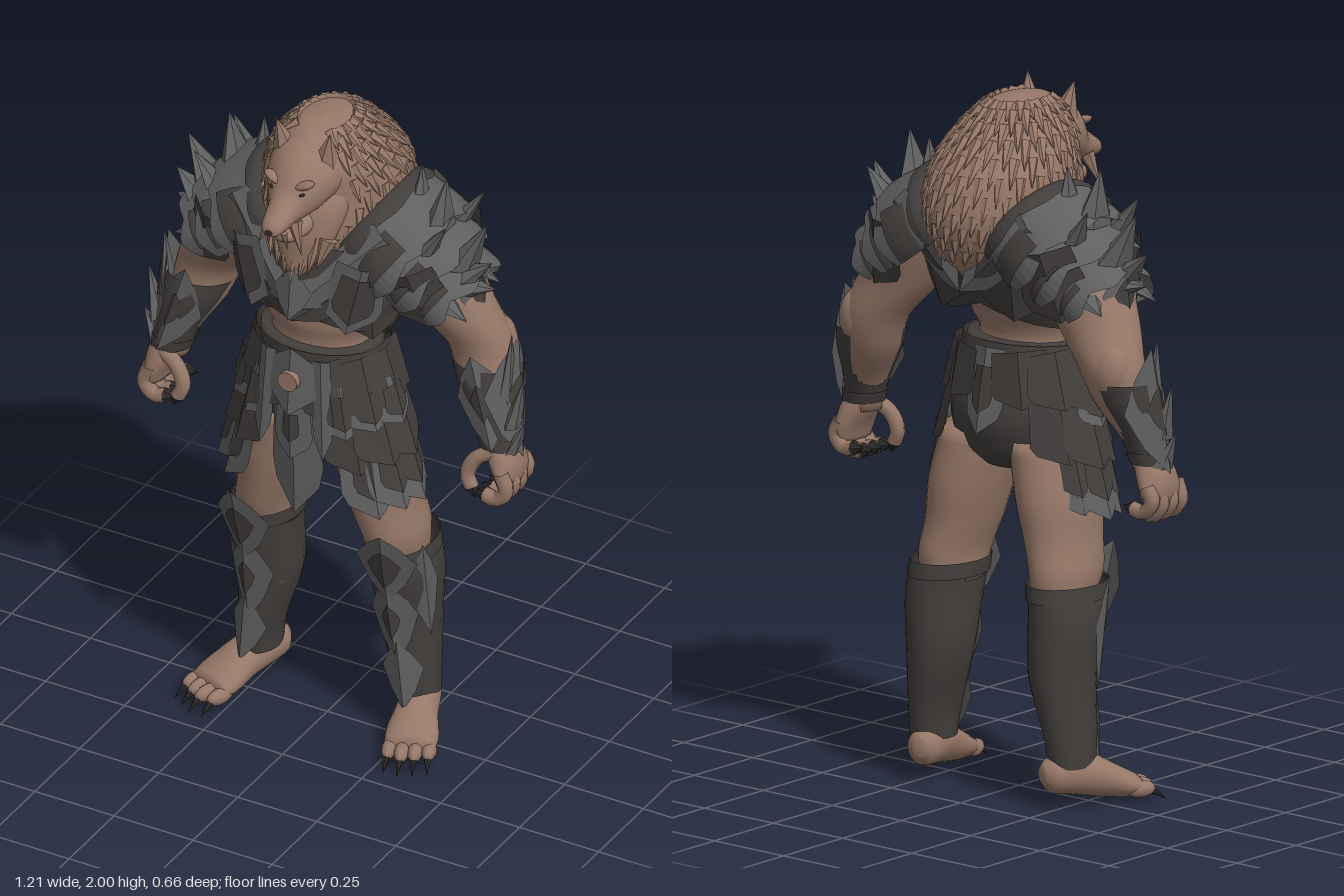
import * as THREE from 'three';
import { mergeGeometries } from 'three/addons/utils/BufferGeometryUtils.js';

const material = (name, color) => new THREE.MeshStandardMaterial({ name, color, side: THREE.DoubleSide });
const skin = material('brown hide', 0x967868);
const steel = material('grey plate', 0x5f5f60);
const leather = material('dark leather', 0x423e3c);
const claw = material('black claw', 0x2a2827);
const V = (p) => new THREE.Vector3(...p);

function add(parent, name, geometry, mat) {
  const mesh = new THREE.Mesh(geometry, mat);
  mesh.name = name;
  parent.add(mesh);
  return mesh;
}
function faceted(geometry) {
  const g = geometry.index ? geometry.toNonIndexed() : geometry;
  g.computeVertexNormals();
  return g;
}

// Smoothly interpolated elliptical rings: [x, y, z, radiusX, radius2]
function sampler(rings, axis = 'y') {
  const centre = new THREE.CatmullRomCurve3(rings.map((r) => V(r.slice(0, 3))));
  const radius = new THREE.CatmullRomCurve3(rings.map((r) => V([r[3], r[4], 0])));
  return (t, a) => {
    const p = centre.getPoint(t), r = radius.getPoint(t);
    return axis === 'y' ? p.add(V([r.x * Math.sin(a), 0, r.y * Math.cos(a)]))
      : p.add(V([r.x * Math.cos(a), r.y * Math.sin(a), 0]));
  };
}
function loft(rings, { axis = 'y', sides = 24, caps = true } = {}) {
  const at = sampler(rings, axis), rows = (rings.length - 1) * 4, pos = [], idx = [];
  for (let i = 0; i <= rows; i++)
    for (let j = 0; j < sides; j++) pos.push(...at(i / rows, (j / sides) * Math.PI * 2).toArray());
  for (let i = 0; i < rows; i++)
    for (let j = 0; j < sides; j++) {
      const a = i * sides + j, b = i * sides + ((j + 1) % sides);
      idx.push(a, b, a + sides, b, b + sides, a + sides);
    }
  if (caps) {
    const n = pos.length / 3, last = rows * sides;
    pos.push(...rings[0].slice(0, 3), ...rings[rings.length - 1].slice(0, 3));
    for (let j = 0; j < sides; j++) {
      const k = (j + 1) % sides;
      idx.push(n, k, j, n + 1, last + j, last + k);
    }
  }
  const g = new THREE.BufferGeometry();
  g.setAttribute('position', new THREE.Float32BufferAttribute(pos, 3));
  g.setIndex(idx);
  g.computeVertexNormals();
  return g;
}

// Pointed cone from a base point to a tip; thin flattens it into a blade
function spikeGeometry(base, tip, r, sides = 6, thin = 1) {
  const d = tip.clone().sub(base), h = d.length();
  const g = new THREE.ConeGeometry(r, h, sides, 1).translate(0, h / 2, 0).scale(thin, 1, 1);
  g.applyQuaternion(new THREE.Quaternion().setFromUnitVectors(V([0, 1, 0]), d.normalize()));
  return faceted(g.translate(base.x, base.y, base.z));
}
const spike = (g, name, a, b, r, mat, thin) => add(g, name, spikeGeometry(V(a), V(b), r, 6, thin), mat);

// Ridged plate from top a to bottom b, facing n; profile lists [fraction, half width]
const KITE = [[0, 0], [0.2, 0.55], [0.45, 1], [0.75, 0.6], [1, 0]];
const TAB = [[0, 0.85], [0.3, 0.9], [0.65, 1], [0.8, 0.85], [1, 0]];
function plate(parent, name, a, b, n, width, { profile = TAB, bend = 0.35, mat = steel, inset = 0.55 } = {}) {
  const A = V(a), B = V(b), y = A.clone().sub(B), len = y.length();
  y.normalize();
  const x = y.clone().cross(V(n)).normalize(), z = x.clone().cross(y);
  const frame = new THREE.Matrix4().makeBasis(x, y, z).setPosition(A);
  const make = (s, lift) => {
    const g = new THREE.PlaneGeometry(2, 1, 4, profile.length - 1), p = g.attributes.position;
    for (let i = 0; i < p.count; i++) {
      const [t, w] = profile[Math.floor(i / 5)], px = p.getX(i) * w * width * s;
      p.setXYZ(i, px, -len * (0.48 + (t - 0.48) * s), lift - Math.abs(px) * bend);
    }
    return faceted(g.applyMatrix4(frame));
  };
  add(parent, name, make(1, 0), mat);
  if (inset) add(parent, name + ' inlay', make(inset, 0.006), leather);
}

// Arched shoulder shell; teeth sets the depth of its notched outer edge
function shoulderBand(parent, name, [x0, x1, ry, rz], mat, teeth = 0, u0 = -1.95, u1 = 1.95) {
  const g = new THREE.PlaneGeometry(1, 1, 28, 4), p = g.attributes.position;
  for (let i = 0; i < p.count; i++) {
    const u = u0 + (u1 - u0) * (p.getX(i) + 0.5), v = 0.5 - p.getY(i), col = i % 29;
    const tooth = v > 0.9 ? teeth * (1 - Math.abs((col % 7) - 3.5) / 3.5) : 0;
    const k = 1 - 0.1 * (1 - v) * (1 - v);
    p.setXYZ(i, x0 + (x1 - x0) * v + tooth, ry * k * Math.cos(u), rz * k * Math.sin(u));
  }
  add(parent, name, faceted(g), mat);
}

function buildSide() {
  const g = new THREE.Group();
  // Leg
  add(g, 'thigh', loft([[0.2, 0.58, -0.05, 0.08, 0.1], [0.2, 0.66, -0.035, 0.086, 0.125], [0.178, 0.75, -0.022, 0.094, 0.13],
    [0.155, 0.87, -0.015, 0.108, 0.14], [0.12, 1.02, 0, 0.112, 0.135]]), skin);
  add(g, 'greave', loft([[0.25, 0.12, -0.07, 0.058, 0.075], [0.245, 0.2, -0.07, 0.062, 0.088], [0.22, 0.38, -0.075, 0.088, 0.105],
    [0.222, 0.54, -0.055, 0.097, 0.125], [0.21, 0.63, -0.045, 0.093, 0.13]], { caps: false }), leather);
  add(g, 'greave cuff', loft([[0.214, 0.59, -0.048, 0.1, 0.134], [0.21, 0.635, -0.043, 0.098, 0.134]], { caps: false }), leather);
  plate(g, 'knee plate', [0.235, 0.72, 0.128], [0.225, 0.47, 0.065], [0.15, 0.2, 1], 0.09, { profile: KITE });
  plate(g, 'shin plate', [0.225, 0.55, 0.082], [0.235, 0.25, 0.03], [0.1, 0.1, 1], 0.07, { profile: KITE, bend: 0.6, inset: 0.4 });
  plate(g, 'ankle plate', [0.24, 0.33, 0.04], [0.26, 0.11, 0.035], [0.2, 0, 1], 0.06, { profile: KITE, bend: 0.6, inset: 0 });
  plate(g, 'outer calf plate', [0.312, 0.66, 0.02], [0.312, 0.34, -0.03], [1, 0, 0.6], 0.045, { profile: KITE, inset: 0 });
  plate(g, 'inner calf plate', [0.135, 0.64, 0.015], [0.15, 0.36, -0.015], [-1, 0, 0.6], 0.045, { profile: KITE, inset: 0 });

  // Foot
  const foot = new THREE.Group();
  foot.name = 'foot';
  foot.position.set(0.255, 0, -0.07);
  foot.rotation.y = 0.35;
  g.add(foot);
  add(foot, 'foot body', loft([[0, 0.105, -0.1, 0.02, 0.025], [0, 0.1, -0.075, 0.045, 0.05], [0, 0.1, -0.02, 0.056, 0.06],
    [0, 0.085, 0.06, 0.06, 0.06], [0, 0.058, 0.14, 0.075, 0.045], [0, 0.045, 0.19, 0.07, 0.03]], { axis: 'z' }), skin);
  for (let i = 0; i < 4; i++) {
    const x = -0.056 + i * 0.037, z = 0.205 - Math.abs(i - 1.2) * 0.012;
    add(foot, 'toe', new THREE.SphereGeometry(1, 12, 8).scale(0.021, 0.024, 0.045).translate(x, 0.04, z), skin);
    spike(foot, 'toe claw', [x, 0.042, z + 0.025], [x * 1.1, 0.004, z + 0.075], 0.014, claw);
  }

  // Arm
  add(g, 'arm', loft([[0.515, 1.0, -0.05, 0.045, 0.045], [0.5, 1.08, -0.06, 0.055, 0.055], [0.455, 1.2, -0.095, 0.085, 0.08],
    [0.425, 1.3, -0.11, 0.1, 0.088], [0.355, 1.41, -0.085, 0.125, 0.108], [0.29, 1.53, -0.07, 0.13, 0.13], [0.22, 1.66, -0.06, 0.09, 0.11]]), skin);
  add(g, 'elbow', new THREE.SphereGeometry(1, 16, 12).scale(0.062, 0.085, 0.058).translate(0.455, 1.29, -0.14), skin);
  add(g, 'bracer', loft([[0.518, 1.03, -0.05, 0.055, 0.055], [0.5, 1.1, -0.06, 0.065, 0.066],
    [0.468, 1.2, -0.085, 0.094, 0.09], [0.45, 1.26, -0.1, 0.104, 0.092]], { caps: false }), leather);
  add(g, 'wrist cuff', loft([[0.52, 1.025, -0.05, 0.06, 0.06], [0.51, 1.06, -0.054, 0.064, 0.064]], { caps: false }), leather);
  plate(g, 'bracer plate', [0.555, 1.36, -0.09], [0.592, 1.0, -0.05], [1, 0.1, 0.1], 0.1, { profile: KITE, bend: 0.55, inset: 0.4 });
  plate(g, 'bracer front plate', [0.45, 1.31, 0.0], [0.53, 1.03, 0.02], [0.3, 0.1, 1], 0.075, { profile: KITE, bend: 0.6, inset: 0.4 });
  plate(g, 'bracer inner plate', [0.37, 1.3, -0.06], [0.45, 1.08, -0.03], [-1, -0.2, 0.5], 0.055, { profile: KITE, inset: 0 });
  for (const [a, b] of [[[0.535, 1.18, -0.06], [0.55, 1.385, -0.06]], [[0.56, 1.1, -0.05], [0.595, 1.26, -0.05]],
    [[0.56, 1.02, -0.05], [0.603, 1.12, -0.04]]]) spike(g, 'bracer blade', a, b, 0.045, steel, 0.5);

  // Hand
  add(g, 'palm', loft([[0.555, 0.91, -0.05, 0.025, 0.065], [0.552, 0.95, -0.05, 0.038, 0.075], [0.535, 1.0, -0.05, 0.05, 0.065],
    [0.515, 1.05, -0.05, 0.045, 0.047]]), skin);
  const finger = (name, path, r) => {
    const pts = path.map(V), n = pts.length - 1;
    add(g, name, new THREE.TubeGeometry(new THREE.CatmullRomCurve3(pts), 10, r, 8), skin);
    const d = pts[n].clone().sub(pts[n - 1]).normalize();
    add(g, name + ' claw', spikeGeometry(pts[n], pts[n].clone().addScaledVector(d, 0.035), r), claw);
  };
  for (let i = 0; i < 4; i++) {
    const z = 0.012 - i * 0.04, y = i === 3 ? 0.015 : 0;
    finger('finger', [[0.555, 0.97, z], [0.572, 0.915 + y, z], [0.542, 0.88 + y, z], [0.505, 0.885 + y, z]], 0.022);
  }
  finger('thumb', [[0.525, 1.02, -0.01], [0.47, 0.985, 0.005], [0.45, 0.935, 0.012], [0.465, 0.9, 0.015]], 0.022);

  // Shoulder armour
  const shoulder = new THREE.Group();
  shoulder.name = 'shoulder armour';
  shoulder.position.set(0.195, 1.59, -0.07);
  shoulder.rotation.z = -0.6;
  g.add(shoulder);
  const bands = [[0.13, 0.23, 0.12, 0.155], [0.04, 0.15, 0.152, 0.185], [-0.09, 0.07, 0.175, 0.21]];
  for (const [x0, x1, ry, rz] of bands) {
    shoulderBand(shoulder, 'shoulder shell', [x0, x1, ry, rz], steel, 0.03);
    for (const u of [-1.5, 1.3])
      shoulderBand(shoulder, 'shell inlay', [x0 + 0.04, x1 - 0.025, ry + 0.006, rz + 0.006], leather, 0, u - 0.45, u + 0.45);
  }
  shoulderBand(shoulder, 'shell inner rim', [-0.1, -0.06, 0.17, 0.206], leather, 0.015);
  for (const [a, b, r] of [[[0.25, 1.71, -0.08], [0.25, 1.83, -0.09], 0.05], [[0.32, 1.67, -0.06], [0.345, 1.83, -0.06], 0.075],
    [[0.4, 1.58, -0.06], [0.475, 1.72, -0.06], 0.075], [[0.34, 1.65, 0.03], [0.4, 1.74, 0.04], 0.045],
    [[0.34, 1.65, -0.16], [0.4, 1.74, -0.18], 0.045], [[0.42, 1.54, -0.04], [0.5, 1.61, -0.04], 0.065],
    [[0.4, 1.5, -0.05], [0.505, 1.52, -0.05], 0.065], [[0.38, 1.49, 0.03], [0.465, 1.45, 0.04], 0.045],
    [[0.38, 1.49, -0.16], [0.45, 1.45, -0.18], 0.045]]) spike(g, 'shoulder blade', a, b, r, steel, 0.5);
  plate(g, 'upper arm plate', [0.44, 1.58, -0.07], [0.46, 1.39, -0.07], [1, 0.1, 0], 0.075, { profile: KITE });
  plate(g, 'front arm plate', [0.32, 1.6, 0.125], [0.36, 1.42, 0.07], [0.4, 0, 1], 0.085, { mat: leather, inset: 0 });
  plate(g, 'rear arm plate', [0.3, 1.62, -0.27], [0.34, 1.42, -0.22], [0.4, 0, -1], 0.1, { mat: leather, inset: 0 });

  // Breast, flank and back plates
  plate(g, 'breast plate', [0.2, 1.6, 0.16], [0.15, 1.38, 0.165], [0.45, -0.1, 1], 0.085, { inset: 0.7 });
  plate(g, 'lower collar plate', [0.25, 1.6, 0.12], [0.0, 1.4, 0.205], [0.25, 0.25, 1], 0.05, { mat: leather, inset: 0 });
  plate(g, 'collar plate', [0.24, 1.69, 0.11], [0.0, 1.44, 0.215], [0.25, 0.25, 1], 0.058, { inset: 0 });
  plate(g, 'flank plate', [0.2, 1.5, 0.11], [0.19, 1.33, 0.08], [0.8, 0, 1], 0.075, { mat: leather, inset: 0 });
  plate(g, 'back collar plate', [0.24, 1.68, -0.25], [0.0, 1.46, -0.255], [0.2, 0, -1], 0.055);
  plate(g, 'back plate', [0.16, 1.6, -0.24], [0.13, 1.38, -0.175], [0.4, 0, -1], 0.11, { mat: leather, inset: 0 });

  // Overlapping skirt plates: top, bottom, width, angles, lift, style
  const rows = [[1.06, 0.81, 0.085, [0.85, 1.2, 1.6, 2.0], 0, { inset: 0.6 }],
    [1.16, 0.95, 0.095, [0.72, 1.15, 1.6, 2.1], 0.016, { mat: leather, inset: 0 }],
    [1.2, 1.06, 0.07, [0.62, 1.0, 1.45], 0.026, { inset: 0.65 }],
    [1.28, 1.1, 0.09, [0.5, 1.0, 1.5, 2.05, 2.6], 0.028, { mat: leather, inset: 0 }]];
  for (const [top, low, w, angles, lift, style] of rows)
    for (const a of angles) {
      const s = Math.sin(a), c = Math.cos(a), tail = a < 0.9 ? -0.02 : a > 1.9 ? 0.02 : 0;
      const at = (y) => [s * (0.185 + lift + (1.25 - y) * 0.31), y, 0.02 + c * (0.152 + lift + (1.25 - y) * 0.07)];
      plate(g, 'skirt plate', at(top), at(low + tail), [s, 0.1, c], w, style);
    }
  plate(g, 'belt tassel', [0.085, 1.28, 0.19], [0.1, 0.97, 0.205], [0.2, 0, 1], 0.03, { inset: 0 });

  // Ear, brow, eye and whiskers
  spike(g, 'ear', [0.062, 1.89, 0.115], [0.085, 2.0, 0.135], 0.042, skin);
  add(g, 'brow', new THREE.SphereGeometry(1, 12, 8).scale(0.036, 0.013, 0.02).rotateZ(0.4).translate(0.045, 1.862, 0.212), skin);
  add(g, 'eye', new THREE.SphereGeometry(1, 10, 8).scale(0.014, 0.005, 0.008).rotateZ(0.3).translate(0.043, 1.838, 0.225), claw);
  spike(g, 'whisker', [0.035, 1.76, 0.245], [0.068, 1.67, 0.265], 0.022, skin);
  spike(g, 'fang', [0.024, 1.74, 0.285], [0.03, 1.68, 0.275], 0.01, skin);
  return g;
}

export function createModel() {
  const model = new THREE.Group();
  model.name = 'armoured wolf warrior';
  const left = buildSide(), right = left.clone();
  left.name = 'left side';
  right.name = 'right side';
  right.scale.x = -1;
  model.add(left, right);

  // Torso and hips
  add(model, 'torso', loft([[0, 1.22, 0.03, 0.165, 0.12], [0, 1.34, 0.03, 0.165, 0.12], [0, 1.42, 0.01, 0.2, 0.145],
    [0, 1.52, -0.02, 0.24, 0.18], [0, 1.63, -0.04, 0.23, 0.18], [0, 1.74, -0.05, 0.14, 0.13]]), skin);
  const vest = loft([[0, 1.41, 0.0, 0.215, 0.165], [0, 1.52, -0.025, 0.255, 0.205], [0, 1.63, -0.05, 0.245, 0.215]], { caps: false });
  const p = vest.attributes.position;
  for (let i = 0; i < p.count; i++)
    p.setY(i, p.getY(i) - 0.3 * Math.abs(p.getX(i)) * Math.max(0, (1.63 - p.getY(i)) / 0.22));
  vest.computeVertexNormals();
  add(model, 'leather vest', vest, leather);
  add(model, 'leather shorts', loft([[0, 0.93, 0, 0.1, 0.09], [0, 0.98, 0, 0.19, 0.135], [0, 1.08, 0, 0.21, 0.155],
    [0, 1.2, 0.02, 0.19, 0.145], [0, 1.29, 0.03, 0.178, 0.135]]), leather);
  add(model, 'belt', loft([[0, 1.24, 0.025, 0.2, 0.152], [0, 1.29, 0.03, 0.192, 0.147]], { caps: false }), leather);
  plate(model, 'centre breast plate', [0, 1.57, 0.205], [0, 1.41, 0.222], [0, 0, 1], 0.06, { profile: KITE, inset: 0 });
  plate(model, 'front tabard', [0, 1.2, 0.2], [0, 0.76, 0.185], [0, 0, 1], 0.08, { inset: 0 });
  plate(model, 'tabard overlay', [0, 1.15, 0.206], [0, 0.95, 0.21], [0, 0, 1], 0.06, { inset: 0.45 });
  plate(model, 'belt buckle', [0, 1.31, 0.205], [0, 1.1, 0.225], [0, 0, 1], 0.11, { profile: KITE, inset: 0 });
  const gem = add(model, 'buckle stone', new THREE.CylinderGeometry(0.03, 0.03, 0.02, 20), skin);
  gem.rotation.x = Math.PI / 2;
  gem.position.set(0, 1.21, 0.215);
  plate(model, 'rear tabard', [0, 1.28, -0.14], [0, 1.04, -0.185], [0, 0, -1], 0.065);

  // Mane with rows of fine pointed tufts
  const mane = [[0, 1.48, -0.14, 0.03, 0.07], [0, 1.55, -0.095, 0.12, 0.18], [0, 1.61, -0.075, 0.165, 0.23], [0, 1.68, -0.075, 0.192, 0.24],
    [0, 1.78, -0.065, 0.192, 0.22], [0, 1.87, -0.025, 0.16, 0.19], [0, 1.94, 0.0, 0.105, 0.14], [0, 1.967, 0.01, 0.06, 0.085], [0, 1.975, 0.02, 0.005, 0.005]];
  add(model, 'mane', loft(mane, { sides: 40 }), skin);
  const at = sampler(mane), tufts = [];
  for (let i = 0; i < 11; i++)
    for (let j = 0; j < 22; j++) {
      const t = 0.2 + i * 0.062, a = ((j + (i % 2) / 2) / 22) * Math.PI * 2 - Math.PI;
      if (Math.abs(a) < 0.8 && t > 0.4) continue;
      const out = V([Math.sin(a), 0, Math.cos(a)]);
      const base = at(t, a).addScaledVector(out, -0.014), tip = at(Math.max(0, t - 0.09), a).addScaledVector(out, 0.014);
      tufts.push(spikeGeometry(base, tip, 0.021, 6));
    }
  for (let j = -3; j <= 3; j++)
    tufts.push(spikeGeometry(V([j * 0.03, 1.67, 0.155]), V([j * 0.024, 1.515 + Math.abs(j) * 0.022, 0.215 - Math.abs(j) * 0.008]), 0.03, 8));
  add(model, 'mane tufts', mergeGeometries(tufts), skin);
  add(model, 'beard', loft([[0, 1.53, 0.185, 0.01, 0.01], [0, 1.58, 0.155, 0.055, 0.045], [0, 1.66, 0.135, 0.1, 0.065],
    [0, 1.76, 0.1, 0.125, 0.08], [0, 1.85, 0.06, 0.1, 0.06]]), skin);

  // Head
  add(model, 'head', loft([[0, 1.86, 0.0, 0.12, 0.1], [0, 1.855, 0.11, 0.112, 0.1], [0, 1.835, 0.175, 0.092, 0.092],
    [0, 1.813, 0.215, 0.066, 0.076], [0, 1.79, 0.245, 0.047, 0.053], [0, 1.773, 0.285, 0.039, 0.036],
    [0, 1.764, 0.315, 0.03, 0.024], [0, 1.758, 0.328, 0.017, 0.013]], { axis: 'z' }), skin);
  add(model, 'lower jaw', loft([[0, 1.74, 0.1, 0.08, 0.07], [0, 1.715, 0.19, 0.055, 0.042], [0, 1.705, 0.245, 0.036, 0.024],
    [0, 1.708, 0.265, 0.018, 0.012]], { axis: 'z' }), skin);
  add(model, 'nose', new THREE.SphereGeometry(1, 12, 8).scale(0.015, 0.01, 0.008).translate(0, 1.757, 0.324), claw);
  return model;
}
